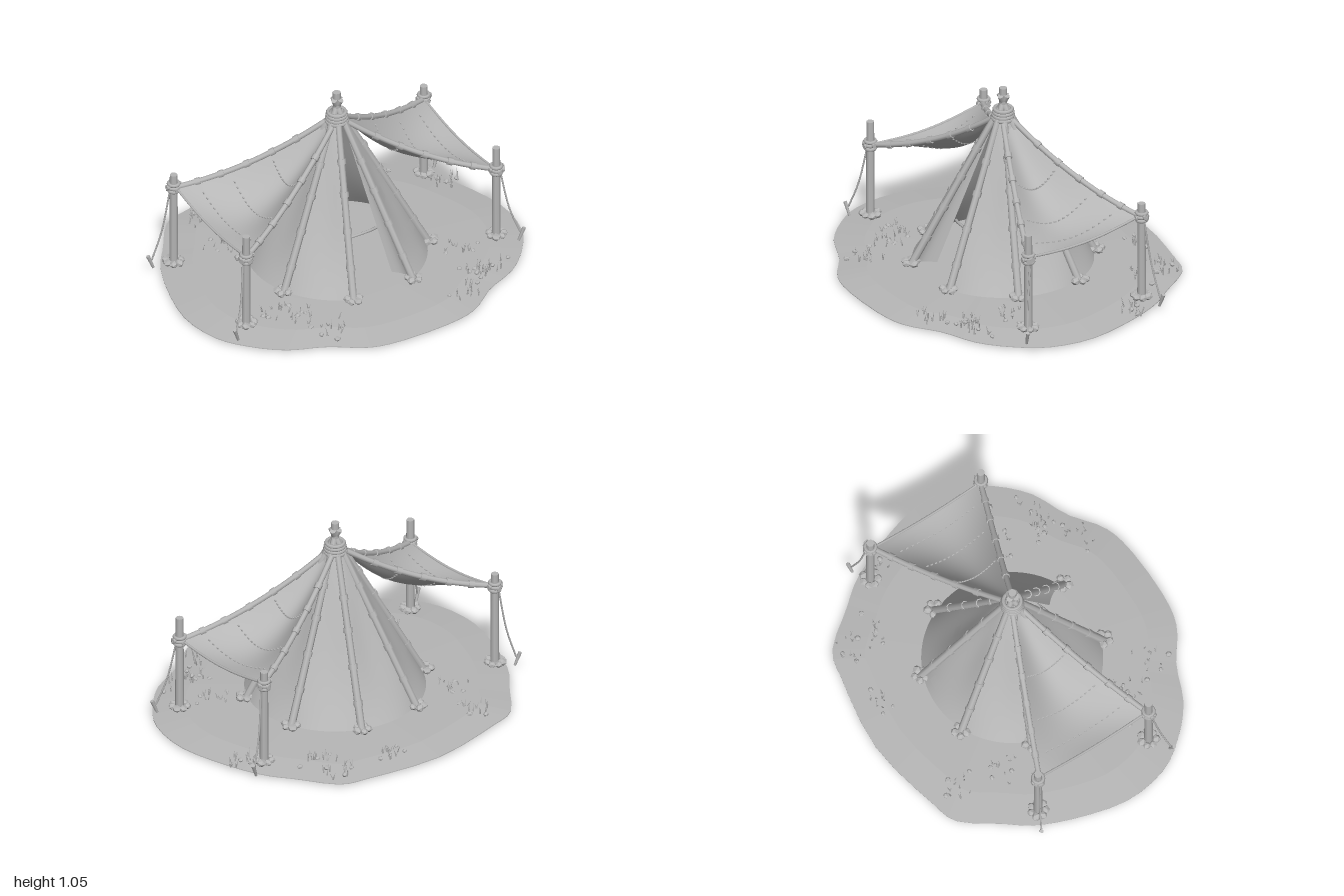
import * as THREE from 'three';
import { mergeGeometries } from 'three/addons/utils/BufferGeometryUtils.js';

const clay = new THREE.MeshStandardMaterial({ color: 0xb6b6b6, side: THREE.DoubleSide });
clay.name = 'plain grey';

const V = (x, y, z) => new THREE.Vector3(x, y, z);
const UP = V(0, 1, 0);
const rad = THREE.MathUtils.degToRad;
const GROUND = 0.04;

let seed = 7;
const rnd = () => (seed = (seed * 16807) % 2147483647) / 2147483647;

// Surface through a grid of points f(u, v)
function sheet(f, nu, nv) {
  const pos = [], idx = [];
  for (let j = 0; j <= nv; j++)
    for (let i = 0; i <= nu; i++) pos.push(...f(i / nu, j / nv).toArray());
  for (let j = 0; j < nv; j++)
    for (let i = 0; i < nu; i++) {
      const a = j * (nu + 1) + i, b = a + 1, c = a + nu + 1, d = c + 1;
      idx.push(a, b, d, a, d, c);
    }
  const g = new THREE.BufferGeometry();
  g.setAttribute('position', new THREE.Float32BufferAttribute(pos, 3));
  g.setIndex(idx);
  g.computeVertexNormals();
  return g;
}

// Straight tapered rod from a to b
function rod(a, b, r0, r1 = r0, sides = 8) {
  const d = b.clone().sub(a);
  const g = new THREE.CylinderGeometry(r1, r0, d.length(), sides);
  g.applyQuaternion(new THREE.Quaternion().setFromUnitVectors(UP, d.normalize()));
  const m = a.clone().add(b).multiplyScalar(0.5);
  return g.translate(m.x, m.y, m.z);
}

// Short band wrapped around a rod at p, along direction d
const band = (p, d, r, h) => rod(p.clone().addScaledVector(d, -h / 2), p.clone().addScaledVector(d, h / 2), r);

const tube = (pts, r, n = 20, sides = 6) =>
  new THREE.TubeGeometry(new THREE.CatmullRomCurve3(pts), n, r, sides);

const rock = (x, y, z, r) =>
  new THREE.IcosahedronGeometry(r, 0).rotateY(rnd() * 6).scale(1, 0.8, 1).translate(x, y, z);

// Ring of stones around a foot
function stones(x, z, n = 6, spread = 0.034) {
  const out = [];
  for (let i = 0; i < n; i++) {
    const a = (i / n) * Math.PI * 2 + 0.3;
    out.push(rock(x + Math.sin(a) * spread, GROUND + 0.024, z + Math.cos(a) * spread, 0.021 + rnd() * 0.006));
  }
  return out;
}

// Tent cloth: angle in degrees from the front, t from hem to top
function clothPoint(deg, t, off = 0) {
  const f = Math.abs(Math.sin(((deg - 22.5) / 45) * Math.PI));
  const r = THREE.MathUtils.lerp(0.48, 0.04, t) * (1 - 0.1 * f * Math.sin(Math.PI * Math.min(1, t * 1.05))) + off;
  const a = rad(deg);
  return V(Math.sin(a) * r, 0.05 + 0.85 * t + off * 0.5, Math.cos(a) * r);
}

// Awning: u from tent to outer edge, v from back edge to front edge
function awningPoint(s, u, v) {
  const back = V(0.05 + 0.73 * u, 0.87 - 0.34 * u - 0.2 * u * (1 - u), -0.03 - 0.33 * u);
  const front = V(0.05 + 0.73 * u, 0.86 - 0.39 * u - 0.2 * u * (1 - u), 0.03 + 0.3 * u);
  const p = back.lerp(front, v);
  const sag = Math.sin(Math.PI * v);
  p.y -= sag * (0.035 * u + 0.36 * u * (1 - u));
  p.x *= s;
  return p;
}

export function createModel() {
  const model = new THREE.Group();
  const add = (name, geos) => {
    const list = [].concat(geos).map(g => {
      const n = g.index ? g.toNonIndexed() : g;
      n.deleteAttribute('uv');
      return n;
    });
    const m = new THREE.Mesh(list.length > 1 ? mergeGeometries(list) : list[0], clay);
    m.name = name;
    model.add(m);
  };

  // Ground: wavy outline, flat plateau, thin rim
  const half = [[0, -0.87], [0.43, -0.8], [0.57, -0.76], [0.73, -0.56], [0.83, -0.43], [0.93, -0.2], [0.995, 0.08],
    [0.957, 0.32], [0.86, 0.47], [0.71, 0.61], [0.51, 0.7], [0.34, 0.82], [0.19, 0.86]];
  const outline = half.concat(half.slice(1).reverse().map(([x, z]) => [-x, z]));
  const rim = new THREE.CatmullRomCurve3(outline.map(([x, z]) => V(x, 0, z)), true);
  const rings = [[0, 0.04], [0.5, 0.04], [0.82, 0.034], [1, 0.014], [1, 0.01], [0.8, 0], [0, 0]];
  const ground = sheet((u, v) => {
    const [k, y] = rings[Math.round(v * 6)];
    const p = rim.getPoint(u % 1).multiplyScalar(k);
    return p.setY(y);
  }, 72, 6).toNonIndexed();
  ground.computeVertexNormals();
  add('ground', ground);

  // Tent cloth, open between the two front poles
  add('tentCloth', sheet((u, v) => clothPoint(22.5 + 315 * u, v), 84, 16));

  // Door flaps folded inward
  for (const s of [-1, 1])
    add('doorFlap', sheet((u, v) => {
      const p = clothPoint(22.5, v), q = p.clone();
      q.x *= 0.72; q.z *= 0.74;
      p.lerp(q, u);
      p.x += 0.02 * Math.sin(Math.PI * u) * (1 - v);
      p.x *= s;
      return p;
    }, 6, 12));

  // Curved bar across the doorway
  const bar = [];
  for (let a = -24; a <= 24; a += 8)
    bar.push(V(Math.sin(rad(a)) * 0.25, 0.285 + 0.012 * Math.cos(rad(a * 3.7)), Math.cos(rad(a)) * 0.25));
  add('doorBar', tube(bar, 0.008));

  // Centre pole with hanging tie
  add('centrePole', [rod(V(0, 0.035, 0), V(0, 1.05, 0), 0.018, 0.022),
    band(V(0, 0.52, 0), UP, 0.026, 0.03), band(V(0, 0.46, 0), UP, 0.024, 0.03)]);

  // Eight leaning poles with wrapped joints and stone feet
  for (let i = 0; i < 8; i++) {
    const a = rad(22.5 + 45 * i), sx = Math.sin(a), cz = Math.cos(a);
    const foot = V(sx * 0.495, GROUND, cz * 0.495), neck = V(sx * 0.035, 0.9, cz * 0.035);
    const dir = neck.clone().sub(foot).normalize();
    const top = neck.clone().addScaledVector(dir, i % 2 ? 0.03 : 0.125);
    const parts = [rod(foot, top, 0.021, 0.017)];
    for (const t of [0.16, 0.36, 0.56, 0.74])
      parts.push(band(foot.clone().lerp(neck, t + 0.03 * (i % 3)), dir, 0.0245, 0.028));
    add('tentPole', parts);
    add('poleStones', stones(foot.x, foot.z, 5, 0.032));
  }

  // Rope binding at the crossing
  add('topBinding', [0.875, 0.892, 0.909, 0.926].map((y, i) =>
    new THREE.TorusGeometry(0.056 - 0.003 * i, 0.011, 6, 16).rotateX(Math.PI / 2).translate(0, y, 0)));

  // Patches lying on the cloth: angle, height share, half angle, half height
  const patches = [[-45, 0.13, 4.5, 0.035], [45, 0.07, 4, 0.025], [57, 0.18, 4.5, 0.03], [40, 0.48, 5, 0.04],
    [81, 0.17, 5, 0.04], [-80, 0.17, 5, 0.04], [118, 0.4, 5.5, 0.035], [169, 0.09, 5, 0.03],
    [-125, 0.24, 5, 0.035], [140, 0.38, 5.5, 0.035]];
  add('clothPatches', patches.map(([d, t, da, dt]) =>
    sheet((u, v) => clothPoint(d + (2 * u - 1) * da, t + (2 * v - 1) * dt, 0.006), 4, 4)));

  for (const s of [-1, 1]) {
    // Awning sheet and outer hem
    add('awning', sheet((u, v) => awningPoint(s, u, v), 24, 20));
    const hem = [];
    for (let i = 0; i <= 8; i++) hem.push(awningPoint(s, 1, i / 8));
    add('awningHem', tube(hem, 0.007));

    // Rows of stitches across the awning
    const stitches = [];
    for (const x of [0.32, 0.52, 0.68])
      for (let i = 0; i < 14; i++) {
        const p = awningPoint(s, (x - 0.05) / 0.73, 0.12 + 0.76 * (i / 13));
        stitches.push(new THREE.BoxGeometry(0.006, 0.008, 0.014).translate(p.x, p.y + 0.002, p.z));
      }
    add('awningStitches', stitches);

    for (const v of [0, 1]) {
      // Sagging edge beam with joints
      const pts = [];
      for (let i = 0; i <= 8; i++) pts.push(awningPoint(s, i / 8, v));
      const end = pts[8].clone().add(V(s * 0.04, -0.003, v ? 0.02 : -0.02));
      const curve = new THREE.CatmullRomCurve3([...pts, end]);
      const beam = [new THREE.TubeGeometry(curve, 28, 0.015, 8), band(end, curve.getTangent(1), 0.016, 0.012)];
      for (const t of [0.2, 0.36, 0.52, 0.68, 0.82])
        beam.push(band(curve.getPointAt(t), curve.getTangentAt(t), 0.0205, 0.03));
      add('awningBeam', beam);

      // Upright post, lashings and stones
      const x = s * 0.785, z = v ? 0.335 : -0.37, y = v ? 0.47 : 0.53;
      add('awningPost', [rod(V(x, GROUND, z), V(x, 0.605, z), 0.024, 0.021)]);
      add('postLashing', [
        ...[-0.02, 0, 0.02].map(d =>
          new THREE.TorusGeometry(0.028, 0.01, 6, 12).rotateX(Math.PI / 2).translate(x, y + d, z)),
        rod(V(x - 0.045, y + 0.006, z), V(x + 0.045, y + 0.006, z), 0.013),
        rod(V(x, y - 0.006, z - 0.04), V(x, y - 0.006, z + 0.04), 0.013)]);
      add('postStones', stones(x, z, 7, 0.04));

      // Guy rope and stake
      const stake = V(s * 0.89, 0.075, v ? 0.405 : -0.42);
      const mid = V(x, y, z).lerp(stake, 0.55);
      mid.y -= 0.03;
      add('guyRope', tube([V(x + s * 0.02, y, z), mid, stake], 0.005, 10, 5));
      add('stake', rod(stake.clone().add(V(-s * 0.01, -0.05, 0)), stake.clone().add(V(s * 0.018, 0.025, v ? 0.01 : -0.01)), 0.007, 0.011, 6));
    }
  }

  // Grass tufts and pebbles in loose clusters
  const grass = [], pebbles = [];
  const clusters = [[-0.45, -0.64], [0.52, -0.53], [-0.5, -0.36], [-0.58, 0.32], [0.62, 0.55], [0.38, 0.68],
    [0.86, -0.27], [-0.4, 0.6], [0.16, -0.7], [-0.48, 0.43], [0.52, 0.56], [0.52, -0.68], [0.55, 0.3]];
  for (const [cx, cz] of clusters)
    for (let i = 0; i < 9; i++) {
      const x = cx + (rnd() - 0.5) * 0.15, z = cz + (rnd() - 0.5) * 0.13;
      for (let k = 0; k < 2; k++)
        grass.push(rod(V(x, 0.028, z), V(x + (rnd() - 0.5) * 0.03, 0.055 + rnd() * 0.03, z + (rnd() - 0.5) * 0.03), 0.005, 0.0005, 4));
      if (i % 4 === 0) pebbles.push(rock(x + (rnd() - 0.5) * 0.2, 0.037, z + (rnd() - 0.5) * 0.1, 0.012 + rnd() * 0.006));
    }
  add('grass', grass);
  add('pebbles', pebbles);
  return model;
}
